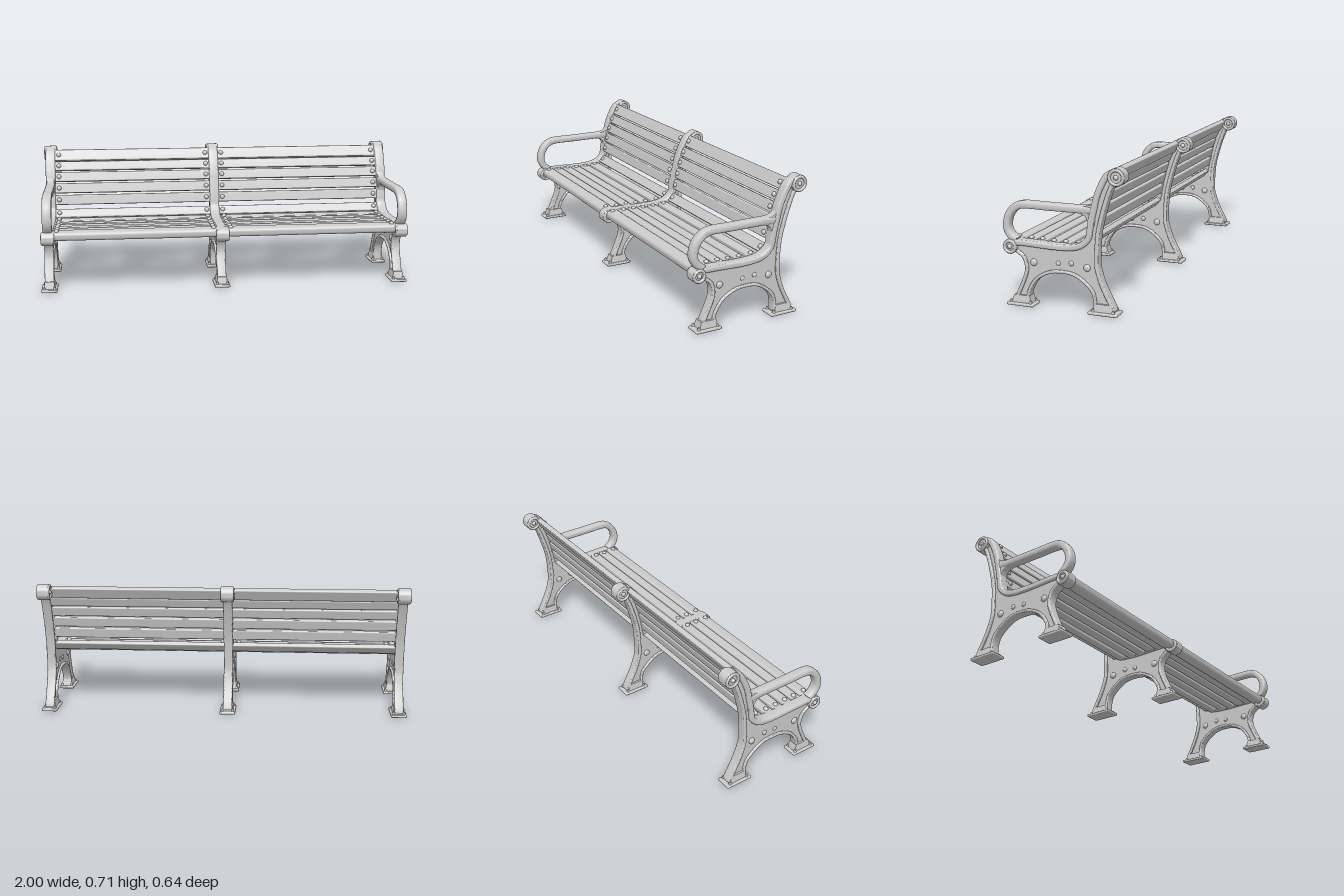
import * as THREE from 'three';
import { toCreasedNormals } from 'three/addons/utils/BufferGeometryUtils.js';
import { RoundedBoxGeometry } from 'three/addons/geometries/RoundedBoxGeometry.js';

const material = new THREE.MeshStandardMaterial({ color: 0xcccccc });

function add(parent, name, geometry, x = 0, y = 0, z = 0) {
  const mesh = new THREE.Mesh(geometry, material);
  mesh.name = name;
  mesh.position.set(x, y, z);
  parent.add(mesh);
  return mesh;
}

// Smooth line through [z, y] points
const smooth = (pts, n = 8) =>
  new THREE.SplineCurve(pts.map(p => new THREE.Vector2(...p))).getPoints((pts.length - 1) * n);

// Extrude a side profile drawn in (z, y) so its thickness runs along x
function profile(points, thickness, bevel) {
  const geo = new THREE.ExtrudeGeometry(new THREE.Shape(points), {
    depth: thickness - 2 * bevel, bevelThickness: bevel, bevelSize: bevel,
    bevelOffset: -bevel, bevelSegments: 3, bevelEnabled: bevel > 0,
  });
  geo.translate(0, 0, -thickness / 2 + bevel);
  geo.rotateY(-Math.PI / 2);
  return toCreasedNormals(geo, 0.7);
}

// Strip of even width following a line
function band(pts, width, thickness, bevel) {
  const line = smooth(pts);
  const left = [], right = [];
  line.forEach((p, i) => {
    const a = line[Math.max(i - 1, 0)], b = line[Math.min(i + 1, line.length - 1)];
    const n = new THREE.Vector2(a.y - b.y, b.x - a.x).setLength(width / 2);
    left.push(p.clone().add(n));
    right.unshift(p.clone().sub(n));
  });
  return profile([...left, ...right], thickness, bevel);
}

const roll = (r, length) => toCreasedNormals(
  new THREE.CylinderGeometry(r, r, length, 32).rotateZ(Math.PI / 2), 0.7);

// Edge lines of the cast frame, as [z, y]
const frontLeg = [[0.257, 0.02], [0.25, 0.045], [0.205, 0.15], [0.197, 0.2], [0.212, 0.245], [0.25, 0.274]];
const arch = [[0.19, 0.02], [0.192, 0.055], [0.179, 0.095], [0.14, 0.147], [0.072, 0.183], [0, 0.19],
  [-0.057, 0.181], [-0.105, 0.153], [-0.145, 0.114], [-0.16, 0.07], [-0.16, 0.02]];
const seatAndBack = [[0.262, 0.314], [0.2, 0.315], [0.05, 0.31], [-0.045, 0.315], [-0.095, 0.333],
  [-0.128, 0.367], [-0.137, 0.41], [-0.144, 0.45], [-0.158, 0.51], [-0.171, 0.565], [-0.195, 0.625], [-0.222, 0.672], [-0.25, 0.69]];
const rear = [[-0.255, 0.02], [-0.246, 0.045], [-0.203, 0.13], [-0.18, 0.193], [-0.17, 0.25],
  [-0.176, 0.38], [-0.196, 0.475], [-0.223, 0.565], [-0.249, 0.63], [-0.27, 0.65]];
const armLine = [[0.252, 0.322], [0.282, 0.345], [0.3, 0.375], [0.302, 0.41], [0.288, 0.452],
  [0.258, 0.486], [0.212, 0.503], [0.1, 0.503], [0, 0.503], [-0.11, 0.503], [-0.16, 0.503]];

function createFrame(hasArm) {
  const frame = new THREE.Group();

  // Thin web with raised rims along its edges
  const web = [...smooth(frontLeg), ...smooth(seatAndBack), ...smooth([...rear].reverse()), ...smooth([...arch].reverse())];
  add(frame, 'web', profile(web, 0.028, 0));
  add(frame, 'frontLegRim', band(frontLeg, 0.018, 0.05, 0.006));
  add(frame, 'archRim', band(arch, 0.016, 0.05, 0.006));
  add(frame, 'rearRim', band(rear, 0.02, 0.05, 0.006));
  add(frame, 'seatAndBackRim', band(seatAndBack, 0.03, 0.054, 0.008));

  // Rolled ends at the seat front and the top of the back
  for (const [name, z, y, r] of [['seatRoll', 0.281, 0.293, 0.037], ['topRoll', -0.274, 0.67, 0.043]]) {
    add(frame, name, roll(r, 0.056), 0, y, z);
    for (const s of [-1, 1]) {
      add(frame, name + 'Ring', new THREE.TorusGeometry(r - 0.009, 0.008, 8, 32).rotateY(Math.PI / 2), s * 0.028, y, z);
      add(frame, name + 'Boss', new THREE.SphereGeometry(0.012, 14, 10), s * 0.028, y, z);
    }
  }

  // Studs on both sides of the web
  for (const [z, y, r] of [[0.16, 0.222, 0.018], [-0.12, 0.222, 0.018], [-0.038, 0.236, 0.013], [0.03, 0.23, 0.012]])
    for (const s of [-1, 1])
      add(frame, 'webStud', new THREE.SphereGeometry(r, 14, 10).scale(0.6, 1, 1), s * 0.014, y, z);

  // Feet: plate, flared socket and anchor bolts
  for (const [z, length, legZ] of [[0.228, 0.142, 0.224], [-0.205, 0.15, -0.207]]) {
    add(frame, 'footPlate', new RoundedBoxGeometry(0.085, 0.015, length, 2, 0.006), 0, 0.0075, z);
    const socket = new THREE.CylinderGeometry(0.6, 0.75, 0.04, 4).rotateY(Math.PI / 4).scale(0.058, 1, 0.098);
    add(frame, 'footSocket', toCreasedNormals(socket, 0.5), 0, 0.032, legZ);
    for (const dz of [-0.052, 0.052])
      for (const s of [-1, 1])
        add(frame, 'footBolt', new THREE.CylinderGeometry(0.006, 0.009, 0.014, 8), s * 0.028, 0.02, z + dz);
  }

  // Looped armrest with a fillet where it meets the back
  if (hasArm) {
    add(frame, 'armrest', band(armLine, 0.038, 0.05, 0.012));
    const fillet = [...smooth([[-0.065, 0.488], [-0.1, 0.48], [-0.12, 0.463], [-0.13, 0.43]]),
      new THREE.Vector2(-0.16, 0.43), new THREE.Vector2(-0.17, 0.56),
      ...smooth([[-0.158, 0.562], [-0.14, 0.531], [-0.1, 0.52]])];
    add(frame, 'armrestFillet', profile(fillet, 0.042, 0.004));
  }
  return frame;
}

export function createModel() {
  const bench = new THREE.Group();
  bench.name = 'bench';

  // Cast frames: two ends with armrests, one plain in the middle
  for (const [name, x] of [['rightFrame', -0.957], ['middleFrame', -0.027], ['leftFrame', 0.957]]) {
    const frame = createFrame(name !== 'middleFrame');
    frame.name = name;
    frame.position.x = x;
    bench.add(frame);
  }

  // Slats: top face centre z, y, tilt in degrees, width, thickness
  const slats = [
    ['frontSlat', 0.267, 0.329, 8, 0.07, 0.046],
    ...[0.2, 0.14, 0.079, 0.016, -0.052].map((z, i) => ['seatSlat', z, 0.326 - (i === 2 || i === 3 ? 0.004 : 0), i === 4 ? 8 : 0, 0.051, 0.026]),
    ['backSlat', -0.109, 0.352, 50, 0.054, 0.026],
    ['backSlat', -0.128, 0.423, 78, 0.056, 0.026],
    ['backSlat', -0.142, 0.488, 75, 0.056, 0.026],
    ['backSlat', -0.159, 0.551, 72, 0.055, 0.026],
    ['backSlat', -0.18, 0.61, 67, 0.053, 0.026],
    ['backSlat', -0.213, 0.668, 62, 0.066, 0.028],
  ];
  for (const [name, z, y, tilt, width, thickness] of slats) {
    const slat = new THREE.Group();
    slat.name = name;
    slat.position.set(0, y, z);
    slat.rotation.x = THREE.MathUtils.degToRad(tilt);
    const radius = name === 'frontSlat' ? 0.018 : 0.006;
    add(slat, 'board', new RoundedBoxGeometry(1.914, thickness, width, 3, radius), 0, -thickness / 2, 0);
    // Round-headed bolts beside every frame
    for (const x of [-0.91, -0.073, 0.019, 0.91])
      add(slat, 'slatBolt', new THREE.SphereGeometry(0.013, 14, 6, 0, Math.PI * 2, 0, Math.PI / 2), x, -0.001, 0);
    bench.add(slat);
  }
  return bench;
}
